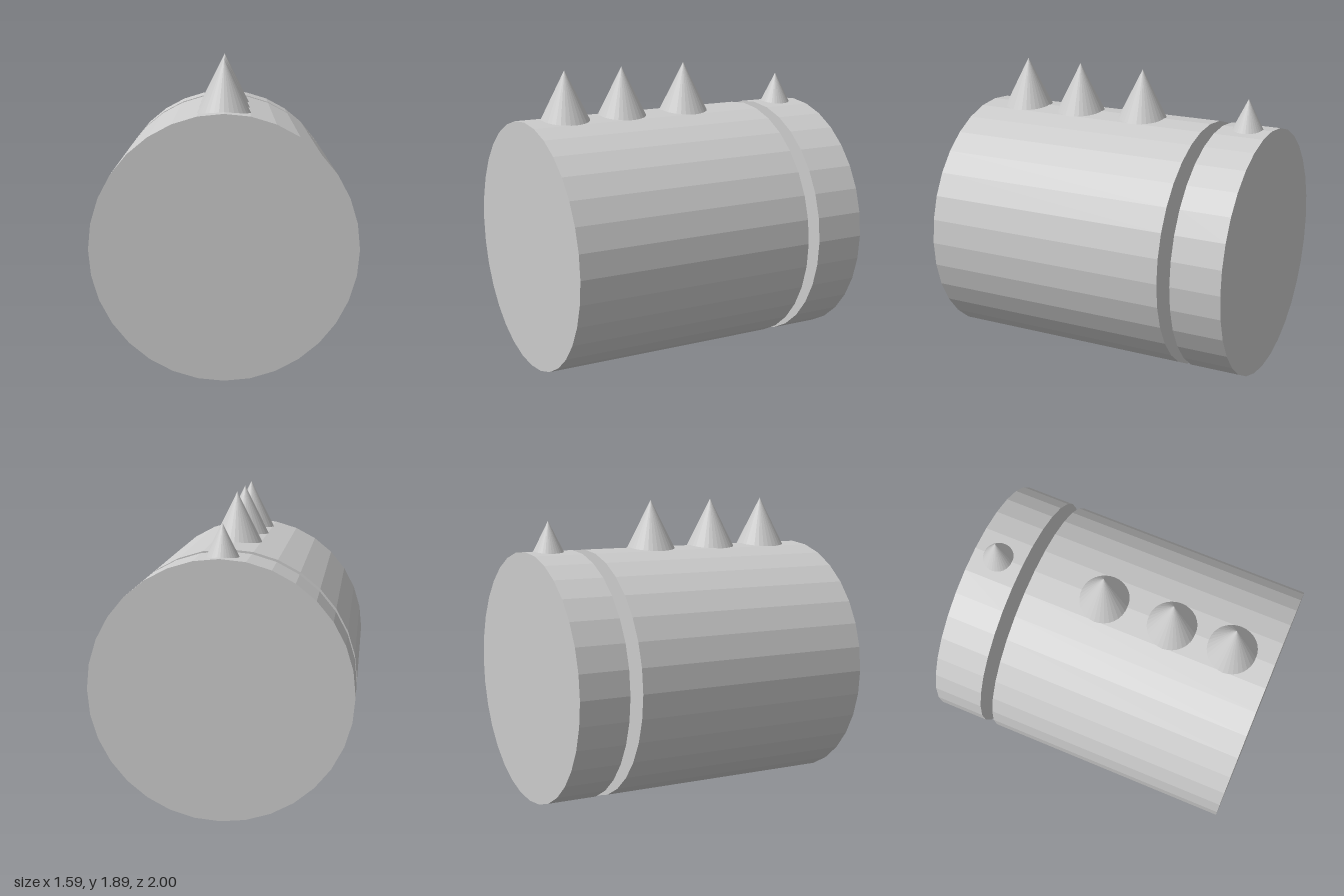
import * as THREE from 'three';

const RADIUS = 0.795;
const SIDES = 32;

export function createModel() {
  const model = new THREE.Group();
  model.name = 'spikedBarrel';
  const material = new THREE.MeshStandardMaterial({ color: 0xcccccc, flatShading: true });

  // Drum lying along z between two end positions
  const addDrum = (name, zBack, zFront) => {
    const geometry = new THREE.CylinderGeometry(RADIUS, RADIUS, zFront - zBack, SIDES);
    geometry.rotateX(Math.PI / 2);
    const drum = new THREE.Mesh(geometry, material);
    drum.name = name;
    drum.position.set(0, RADIUS, (zFront + zBack) / 2);
    model.add(drum);
  };

  // Upright spike whose base is sunk into the drum
  const addSpike = (name, z, tip, height) => {
    const spike = new THREE.Mesh(new THREE.ConeGeometry(height / 2, height, SIDES), material);
    spike.name = name;
    spike.position.set(0, tip - height / 2, z);
    model.add(spike);
  };

  addDrum('mainDrum', -0.593, 1);
  addDrum('rearDrum', -1, -0.677);

  [0.725, 0.33, -0.12].forEach((z, i) => addSpike(`largeSpike${i + 1}`, z, 1.895, 0.4));
  addSpike('smallSpike', -0.843, 1.778, 0.25);

  return model;
}
